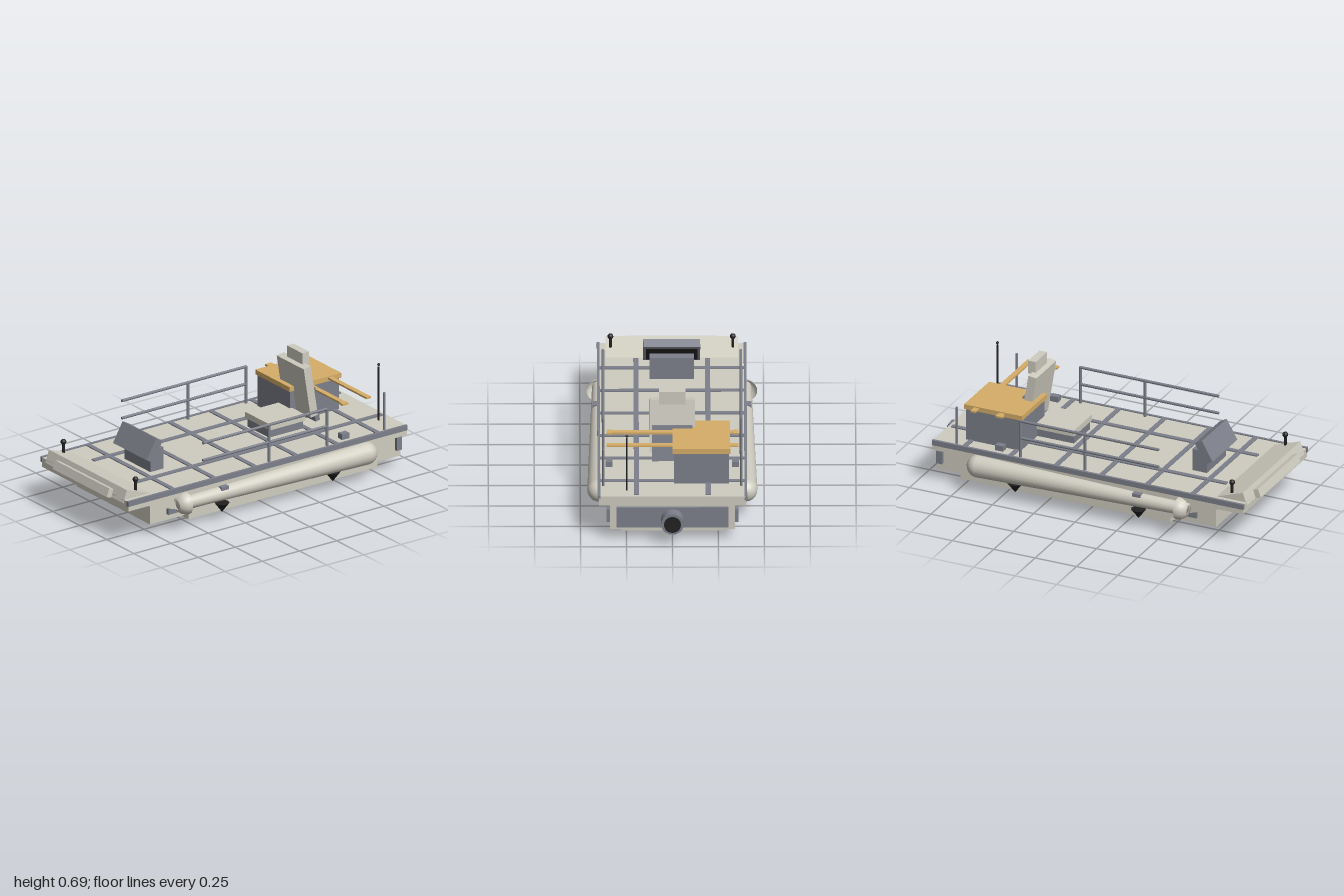
import * as THREE from 'three';

const mat = (color) => new THREE.MeshStandardMaterial({ color, side: THREE.DoubleSide });

export function createModel() {
  const model = new THREE.Group();
  const cream = mat(0xcfccc0), grey = mat(0x7d808b), tan = mat(0xd6ae68), black = mat(0x222222);

  const add = (name, geo, material, x, y, z, rx = 0) => {
    const mesh = new THREE.Mesh(geo, material);
    mesh.name = name;
    mesh.position.set(x, y, z);
    mesh.rotation.x = rx;
    model.add(mesh);
    return mesh;
  };
  // box given by its minimum and maximum on each axis
  const span = (name, m, x0, x1, y0, y1, z0, z1) =>
    add(name, new THREE.BoxGeometry(x1 - x0, y1 - y0, z1 - z0), m, (x0 + x1) / 2, (y0 + y1) / 2, (z0 + z1) / 2);
  // box given by centre and size, tilted about x
  const tilted = (name, m, w, h, d, y, z, rx) =>
    add(name, new THREE.BoxGeometry(w, h, d), m, 0, y, z, rx);
  const post = (name, m, r, x, y0, y1, z) =>
    add(name, new THREE.CylinderGeometry(r, r, y1 - y0, 10), m, x, (y0 + y1) / 2, z);

  // hull and deck
  span('keel', cream, -0.277, 0.277, 0, 0.066, -0.8, 0.47);
  span('hull', cream, -0.34, 0.34, 0.064, 0.206, -0.91, 0.775);
  span('deck', cream, -0.4, 0.4, 0.205, 0.26, -0.91, 0.965);
  tilted('bowRamp', cream, 0.72, 0.075, 0.45, 0.205, 0.745, -0.33);
  tilted('bowLip', cream, 0.5, 0.05, 0.035, 0.267, 0.976, -0.33);

  // raised deck grid
  for (const x of [-0.195, 0.195]) span('deckStrip', grey, x - 0.014, x + 0.014, 0.255, 0.267, -0.89, 0.77);
  for (let i = 0; i < 6; i++) {
    const z = -0.718 + i * 0.2755;
    span('crossStrip', grey, -0.4, 0.4, 0.255, 0.265, z - 0.014, z + 0.014);
  }

  // stern panel and thruster
  span('sternPanel', grey, -0.305, 0.305, 0.08, 0.2, -0.926, -0.9);
  add('thruster', new THREE.CylinderGeometry(0.062, 0.062, 0.07, 20), grey, 0, 0.13, -0.955, Math.PI / 2);
  add('thrusterNozzle', new THREE.CylinderGeometry(0.046, 0.046, 0.05, 20), black, 0, 0.13, -0.975, Math.PI / 2);

  // float profile: slim at the bow, rounded at the stern (lathe y points to the bow)
  const floatProfile = [new THREE.Vector2(0, 0.62), new THREE.Vector2(0.036, 0.62)];
  for (let i = 0; i <= 8; i++) {
    const a = (i / 8) * Math.PI / 2;
    floatProfile.push(new THREE.Vector2(0.065 * Math.cos(a), -0.632 - 0.065 * Math.sin(a)));
  }
  // hollow collar with a hole at its nose
  const collarProfile = [];
  for (let i = 0; i <= 6; i++) {
    const a = (i / 6) * 1.13;
    collarProfile.push(new THREE.Vector2(0.065 * Math.cos(a), 0.575 + 0.069 * Math.sin(a)));
  }

  for (const s of [-1, 1]) {
    const side = (name, m, x0, x1, ...r) =>
      span(name, m, Math.min(s * x0, s * x1), Math.max(s * x0, s * x1), ...r);

    side('gunwale', grey, 0.392, 0.407, 0.235, 0.265, -0.91, 0.97);
    add('sideFloat', new THREE.LatheGeometry(floatProfile, 20), cream, s * 0.398, 0.164, 0, Math.PI / 2);
    add('floatCollar', new THREE.LatheGeometry(collarProfile, 14), cream, s * 0.4, 0.164, 0, Math.PI / 2);
    for (const z of [0.335, -0.41]) {
      add('spike', new THREE.ConeGeometry(0.042, 0.055, 10), black, s * 0.4, 0.08, z, Math.PI);
      side('floatBracket', grey, 0.38, 0.432, 0.19, 0.209, z - 0.025, z + 0.025);
    }

    // fittings on the hull side
    side('sidePanel', tan, 0.335, 0.346, 0.09, 0.13, -0.58, 0.31);
    for (const z of [0.615, 0.445]) side('sideBlock', grey, 0.335, 0.356, 0.098, 0.137, z - 0.048, z + 0.048);
    side('sternBlock', grey, 0.335, 0.358, 0.105, 0.18, -0.908, -0.873);

    // handrail
    for (const y of [0.373, 0.475])
      add('handrail', new THREE.CylinderGeometry(0.008, 0.008, 0.835, 10), grey, s * 0.375, y, 0.028, Math.PI / 2);
    for (const z of [0, -0.39]) post('railPost', grey, 0.008, s * 0.375, 0.26, 0.478, z);
    post('sternPost', grey, 0.007, s * 0.375, 0.26, 0.478, -0.775);

    // bow lamp and small deck box
    post('lampStem', black, 0.008, s * 0.333, 0.28, 0.345, 0.868);
    add('bowLamp', new THREE.SphereGeometry(0.016, 14, 10), black, s * 0.333, 0.35, 0.868);
    side('deckBox', grey, 0.325, 0.362, 0.26, 0.292, -0.55, -0.502);
  }

  // antenna
  post('antenna', black, 0.005, 0.248, 0.26, 0.575, -0.83);
  add('antennaTip', new THREE.SphereGeometry(0.008, 12, 8), black, 0.248, 0.587, -0.83);

  // control console, its screen facing aft
  span('consoleBase', grey, -0.12, 0.12, 0.26, 0.387, 0.525, 0.613);
  tilted('consoleHead', grey, 0.31, 0.13, 0.05, 0.397, 0.61, -0.52);
  tilted('consoleScreen', black, 0.28, 0.105, 0.008, 0.384, 0.5865, -0.52);

  // seat
  span('seatBase', grey, -0.1, 0.1, 0.26, 0.31, -0.43, -0.2);
  span('seatCushion', cream, -0.114, 0.114, 0.308, 0.343, -0.435, -0.195);
  tilted('seatBack', cream, 0.25, 0.3, 0.048, 0.473, -0.463, 0.16);
  tilted('seatBackFrame', grey, 0.22, 0.2, 0.03, 0.385, -0.505, 0.16);
  span('headrest', cream, -0.071, 0.071, 0.61, 0.687, -0.49, -0.445);

  // cabinet with worktop and long bars
  span('cabinet', grey, -0.308, -0.01, 0.26, 0.447, -0.75, -0.42);
  span('worktop', tan, -0.315, 0, 0.445, 0.473, -0.76, -0.41);
  for (const z of [-0.685, -0.53]) {
    span('bar', tan, -0.36, 0.357, 0.457, 0.467, z - 0.015, z + 0.015);
  }
  for (const x of [-0.345, 0.342]) span('barEnd', tan, x - 0.014, x + 0.014, 0.457, 0.467, -0.55, -0.508);

  return model;
}
